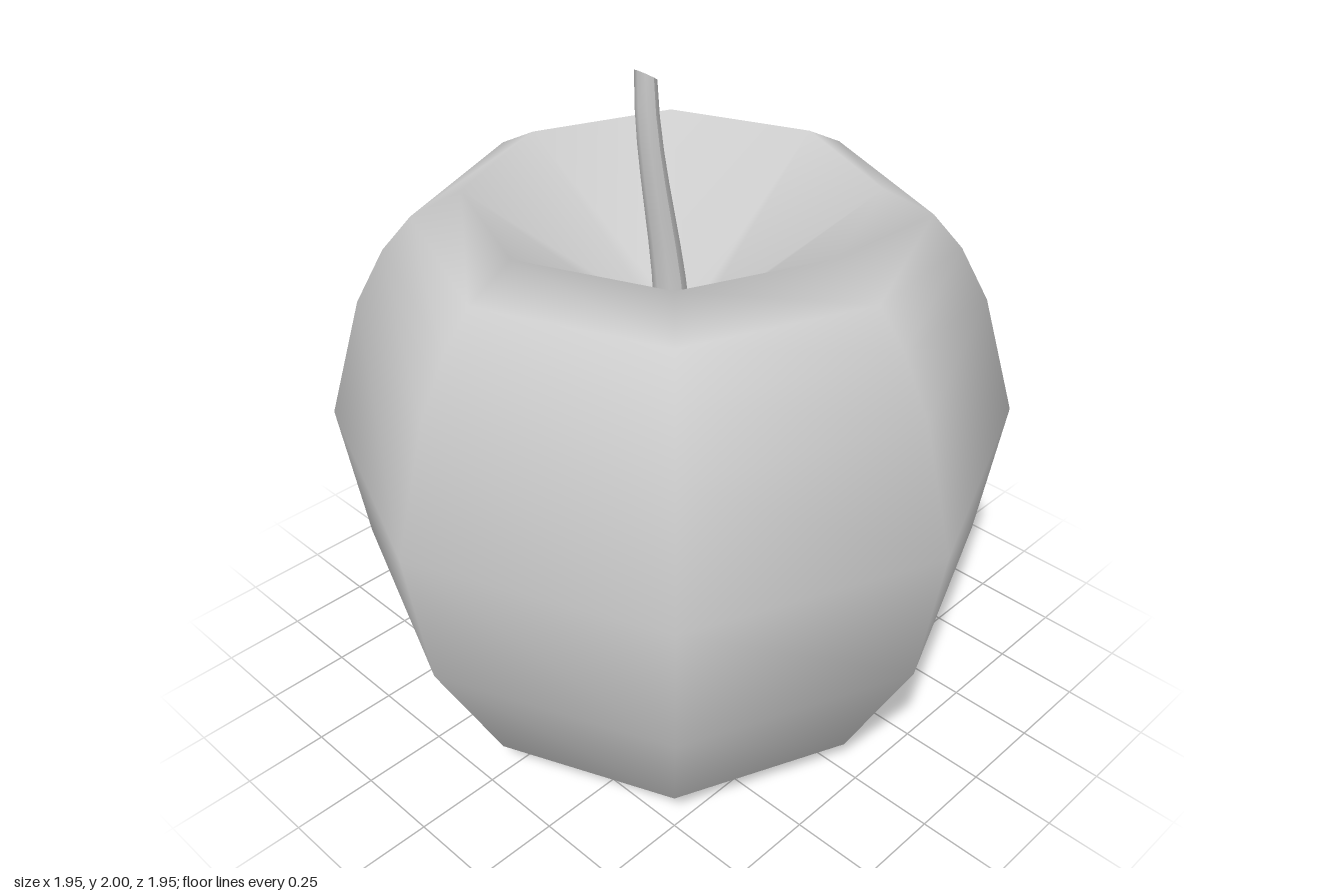
import * as THREE from 'three';

export function createModel() {
  const group = new THREE.Group();
  const material = new THREE.MeshStandardMaterial({ color: 0xcccccc, side: THREE.DoubleSide });

  // Eight-sided fruit body: bottom dimple, outer skin, top hollow
  const profile = [
    [0, 0.24], [0.06, 0.23], [0.41, 0.01], [0.57, 0], [0.70, 0.10], [0.91, 0.51], [0.975, 0.94],
    [0.87, 1.30], [0.785, 1.46], [0.70, 1.56], [0.56, 1.635], [0.07, 1.24], [0, 1.2],
  ].map(([r, y]) => new THREE.Vector2(r, y));
  const body = new THREE.Mesh(new THREE.LatheGeometry(profile, 8), material);
  body.name = 'fruitBody';
  group.add(body);

  // Tapered stem, bent toward -x, with a slanted cut at the tip
  const base = 1.19, height = 0.79;
  const geometry = new THREE.CylinderGeometry(0.029, 0.052, height, 8, 8);
  const pos = geometry.attributes.position;
  for (let i = 0; i < pos.count; i++) {
    const x = pos.getX(i);
    const t = pos.getY(i) / height + 0.5;
    const bend = -0.095 * t * t * (3 - 2 * t);
    pos.setXY(i, x + bend, base + t * height - x * 0.65 * t);
  }
  geometry.computeVertexNormals();
  const stem = new THREE.Mesh(geometry, material);
  stem.name = 'stem';
  group.add(stem);

  return group;
}
